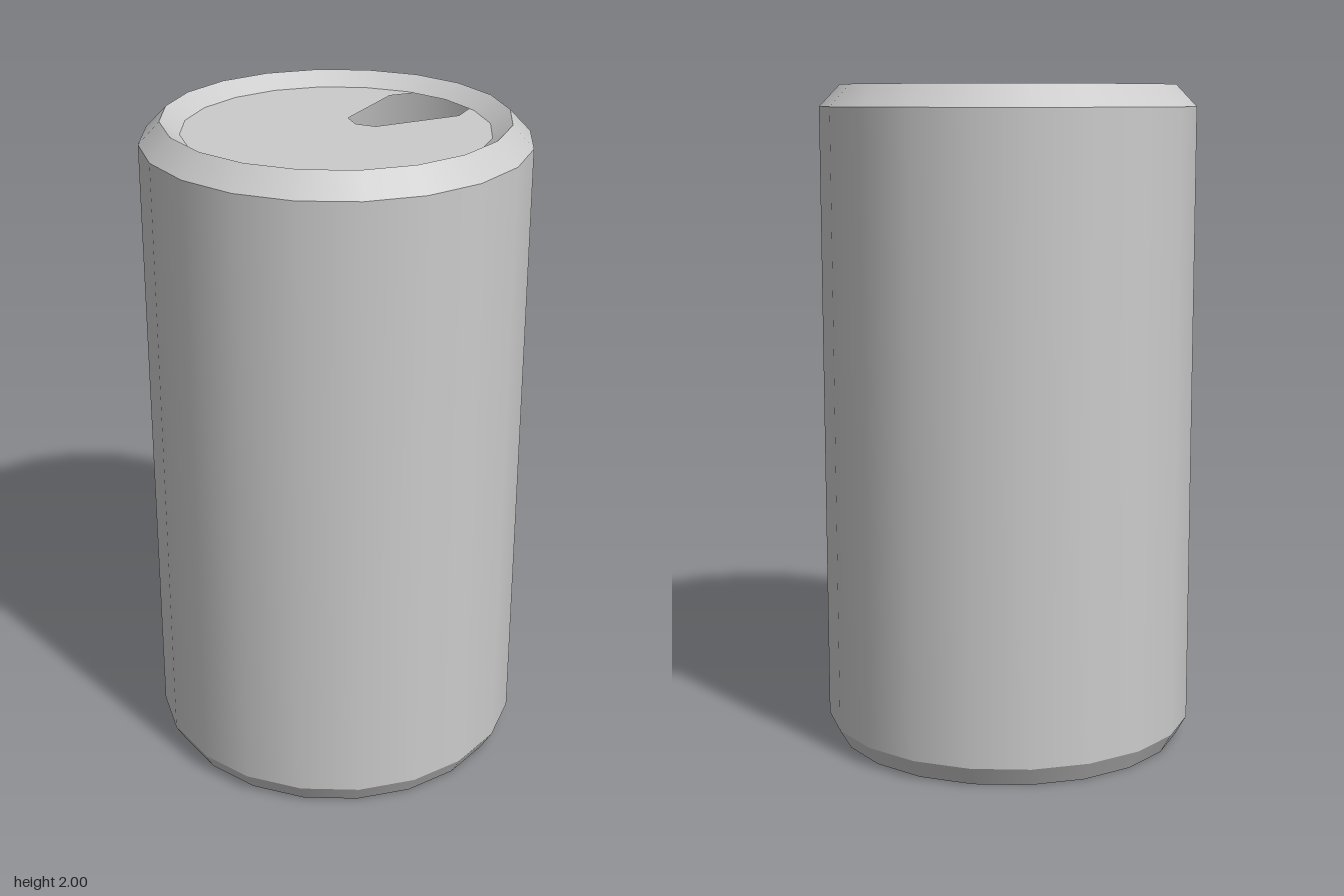
import * as THREE from 'three';

const SIDES = 20;
const LID_RADIUS = 0.447;
const LID_HEIGHT = 1.96;

// Thin sheet metal: the inside shows through the drinking hole
const metal = new THREE.MeshStandardMaterial({ color: 0xcccccc, side: THREE.DoubleSide });

// One smooth band of the can; separate bands keep the edges between them sharp
function band(name, profile) {
  const points = profile.map(([r, y]) => new THREE.Vector2(r, y));
  const mesh = new THREE.Mesh(new THREE.LatheGeometry(points, SIDES), metal);
  mesh.name = name;
  return mesh;
}

// Flat lid, its outline notched at the back by the drinking hole
function makeLid() {
  const outline = [];
  // Start just left of the back vertex and go round to just right of it
  for (let i = 1; i < SIDES; i++) {
    const a = Math.PI / 2 + (i / SIDES) * Math.PI * 2;
    outline.push(new THREE.Vector2(Math.cos(a) * LID_RADIUS, Math.sin(a) * LID_RADIUS));
  }
  const half = [[0.115, 0.429], [0.145, 0.355], [0.058, 0.1]];
  half.forEach(([x, y]) => outline.push(new THREE.Vector2(x, y)));
  outline.push(new THREE.Vector2(0, 0.075));
  half.reverse().forEach(([x, y]) => outline.push(new THREE.Vector2(-x, y)));

  const geometry = new THREE.ShapeGeometry(new THREE.Shape(outline));
  geometry.rotateX(-Math.PI / 2);
  const lid = new THREE.Mesh(geometry, metal);
  lid.name = 'lid';
  lid.position.y = LID_HEIGHT;
  return lid;
}

export function createModel() {
  const can = new THREE.Group();
  can.name = 'drinkCan';
  can.add(
    // Hollow dome under the can
    band('bottomDome', [[0, 0.13], [0.14, 0.121], [0.28, 0.094], [0.41, 0.052], [0.53, 0]]),
    band('bottomBevel', [[0.53, 0], [0.565, 0.06]]),
    band('body', [[0.565, 0.06], [0.565, 1.935]]),
    band('shoulder', [[0.565, 1.935], [0.503, 2]]),
    // Slope from the rim down to the sunken lid
    band('innerRim', [[0.503, 2], [LID_RADIUS, LID_HEIGHT]]),
    makeLid(),
  );
  return can;
}
